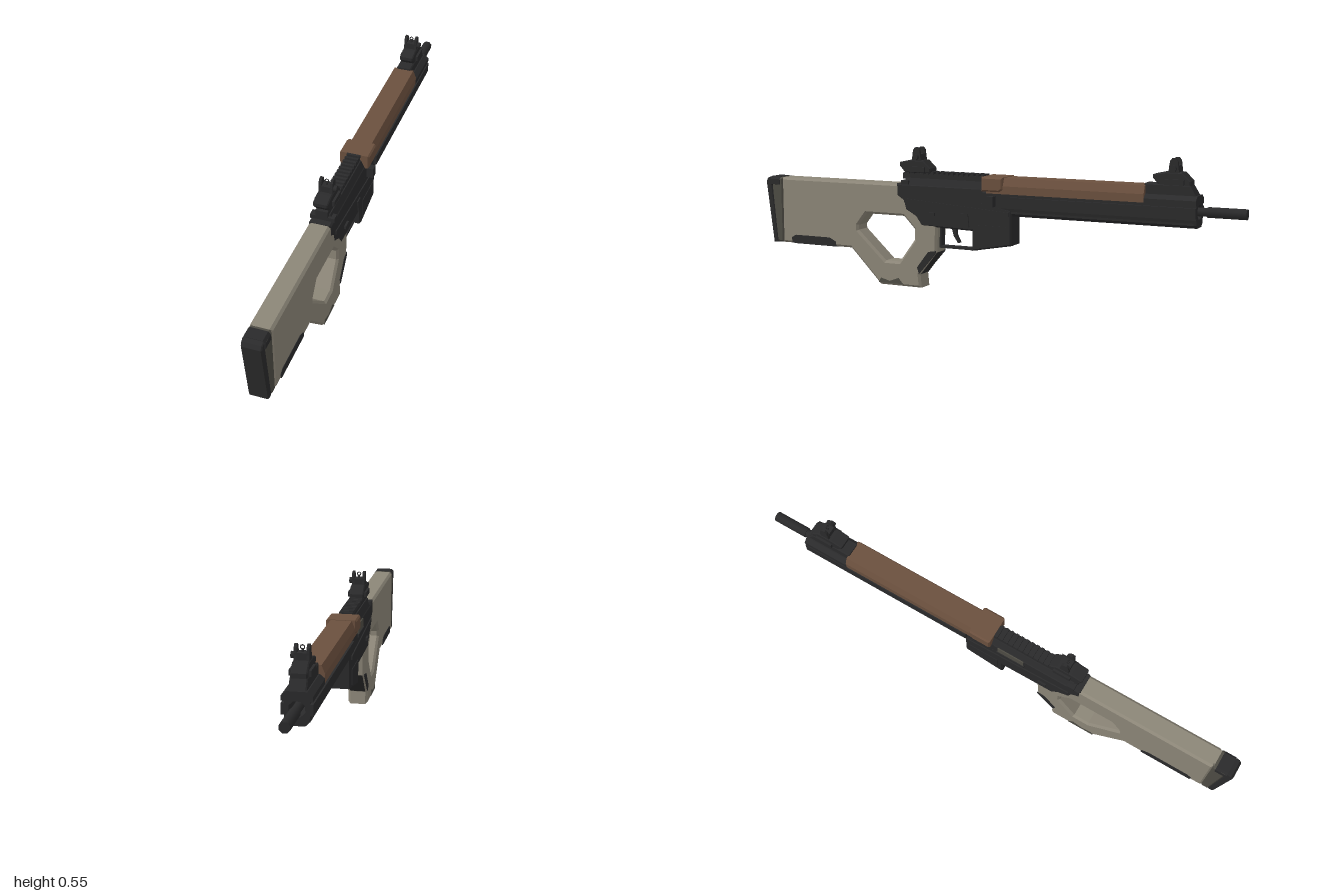
import * as THREE from 'three';

const material = (name, color) => {
  const m = new THREE.MeshStandardMaterial({ color });
  m.name = name;
  return m;
};

export function createModel() {
  const black = material('gunmetal black', 0x2a2a2b);
  const grey = material('warm stone grey', 0x8c8678);
  const worn = material('worn dark olive', 0x4e4c44);
  const brown = material('leather brown', 0x6b503e);

  const model = new THREE.Group();
  model.name = 'carbine';
  const body = new THREE.Group();
  body.name = 'body';
  body.position.x = -0.005;
  model.add(body);

  const add = (name, geometry, mat, parent = body) => {
    const mesh = new THREE.Mesh(geometry, mat);
    mesh.name = name;
    parent.add(mesh);
    return mesh;
  };
  const box = (name, w, h, d, x, y, z, mat = black, parent = body) =>
    add(name, new THREE.BoxGeometry(w, h, d).translate(x, y, z), mat, parent);
  const path = (points, Type = THREE.Shape) => new Type(points.map(([a, b]) => new THREE.Vector2(a, b)));

  // Side outline in (z, y), extruded across x to width w with a chamfer
  const side = (name, points, w, mat = black, { bevel = 0, x = 0, hole, parent } = {}) => {
    const flip = (list) => list.map(([z, y]) => [-z, y]);
    const shape = path(flip(points));
    if (hole) shape.holes.push(path(flip(hole), THREE.Path));
    const geometry = new THREE.ExtrudeGeometry(shape, {
      depth: w - 2 * bevel, bevelEnabled: bevel > 0, bevelSegments: 1,
      bevelSize: bevel, bevelThickness: bevel, bevelOffset: -bevel,
    });
    geometry.translate(0, 0, bevel - w / 2).rotateY(Math.PI / 2).translate(x, 0, 0);
    return add(name, geometry, mat, parent);
  };

  // Symmetric cross-section given by its right half, extruded along z
  const section = (name, half, z0, z1, mat = black, hole) => {
    const mirrored = half.slice().reverse().map(([x, y]) => [-x, y]);
    const shape = path([...half, ...mirrored]);
    if (hole) shape.holes.push(path(hole, THREE.Path));
    const geometry = new THREE.ExtrudeGeometry(shape, { depth: z1 - z0, bevelEnabled: false });
    return add(name, geometry.translate(0, 0, z0), mat);
  };

  // Stock with thumb hole and grip
  side('stock', [
    [0.92, 0.41], [0.92, 0.14], [0.59, 0.14], [0.455, 0.003], [0.27, 0.003],
    [0.275, 0.055], [0.2, 0.15], [0.195, 0.26], [0.3, 0.38], [0.3, 0.41],
  ], 0.08, grey, {
    bevel: 0.009,
    hole: [[0.555, 0.235], [0.517, 0.284], [0.346, 0.284], [0.298, 0.235],
      [0.298, 0.193], [0.367, 0.1], [0.43, 0.1], [0.555, 0.215]],
  });
  side('stockEnd', [[0.975, 0.41], [0.95, 0.14], [0.915, 0.14], [0.915, 0.41]], 0.078, worn, { bevel: 0.008 });
  side('buttPad', [[0.975, 0.411], [0.992, 0.405], [1, 0.39], [0.968, 0.138], [0.945, 0.138]], 0.073, black, { bevel: 0.004 });
  section('buttTopCap', [[0.034, 0.375], [0.04, 0.38], [0.04, 0.401], [0.031, 0.412]], 0.93, 0.976);

  // Thin painted wear patches on both sides of the stock
  const patches = {
    lowerEdgePatch: [[0.87, 0.142], [0.875, 0.163], [0.855, 0.175], [0.69, 0.175], [0.66, 0.16], [0.66, 0.142]],
    gripPatch: [[0.277, 0.06], [0.285, 0.085], [0.235, 0.15], [0.203, 0.155], [0.203, 0.145]],
    footPatch: [[0.46, 0.012], [0.45, 0.03], [0.41, 0.02], [0.37, 0.035], [0.35, 0.012]],
  };
  for (const [name, points] of Object.entries(patches)) {
    for (const s of [-1, 1]) side(name, points, 0.004, name === 'footPatch' ? worn : black, { x: s * 0.04 });
  }
  box('lowerEdgeStrip', 0.062, 0.004, 0.21, 0, 0.14, 0.765);
  const gripStrip = box('gripStrip', 0.062, 0.115, 0.004, 0, 0, 0);
  gripStrip.position.set(0, 0.104, 0.238);
  gripStrip.rotation.x = -0.668;

  // Receiver
  side('lowerReceiver', [
    [0.375, 0.412], [0.375, 0.365], [0.345, 0.345], [0.335, 0.31], [0.29, 0.285], [0.265, 0.25],
    [0.045, 0.245], [0.045, 0.168], [-0.12, 0.198], [-0.12, 0.335], [0, 0.36], [0, 0.412],
  ], 0.084, black, { bevel: 0.006 });
  section('upperReceiver', [[0.041, 0.34], [0.041, 0.405], [0.027, 0.435]], -0.002, 0.34);
  box('topRail', 0.046, 0.024, 0.36, 0, 0.442, 0.175);
  for (let i = 0; i < 16; i++) box('railTooth', 0.052, 0.012, 0.011, 0, 0.456, 0.008 + i * 0.0215);
  box('ejectionPort', 0.006, 0.034, 0.11, -0.042, 0.39, 0.08, worn);
  box('portCover', 0.008, 0.012, 0.12, -0.044, 0.366, 0.08);
  box('chargingHandle', 0.092, 0.016, 0.03, 0, 0.418, 0.335);
  side('boltCatch', [[0.09, 0.31], [0.06, 0.31], [0.055, 0.26], [0.08, 0.26]], 0.008, black, { x: 0.043 });
  for (const s of [-1, 1]) {
    box('selector', 0.012, 0.012, 0.035, s * 0.044, 0.3, 0.22);
    side('receiverRidge', [[0.33, 0.355], [0.33, 0.34], [-0.11, 0.31], [-0.11, 0.325]], 0.006, black, { x: s * 0.043 });
    side('magazineWellPanel', [[0.025, 0.27], [0.025, 0.185], [-0.1, 0.208], [-0.1, 0.27]], 0.005, black, { x: s * 0.042 });
  }
  box('sideKnob', 0.03, 0.04, 0.03, 0.0525, 0.365, -0.04);

  // Trigger and guard
  box('triggerGuardBottom', 0.03, 0.009, 0.16, 0, 0.17, 0.118);
  box('triggerGuardPost', 0.03, 0.085, 0.009, 0, 0.208, 0.194);
  side('trigger', [[0.15, 0.25], [0.13, 0.25], [0.128, 0.22], [0.113, 0.19], [0.122, 0.188], [0.14, 0.215]], 0.014);

  // Handguard with an open front, side rails and brown cover
  const bore = Array.from({ length: 8 }, (_, i) => {
    const a = (i + 0.5) * Math.PI / 4;
    return [0.029 * Math.cos(a), 0.367 + 0.029 * Math.sin(a)];
  });
  section('handguard', [[0.026, 0.31], [0.038, 0.322], [0.042, 0.34], [0.042, 0.395], [0.036, 0.405]], -0.83, 0, black, bore);
  for (const s of [-1, 1]) {
    box('sideRail', 0.016, 0.038, 0.72, s * 0.045, 0.365, -0.47);
    box('lowerRib', 0.012, 0.008, 0.7, s * 0.034, 0.325, -0.47);
  }
  section('handguardCover', [[0.052, 0.395], [0.052, 0.425], [0.04, 0.455]], -0.64, -0.02, brown);
  side('coverRearBlock', [[-0.002, 0.457], [-0.002, 0.402], [-0.075, 0.402], [-0.09, 0.412], [-0.09, 0.457]], 0.116, brown, { bevel: 0.006 });
  section('frontBlock', [[0.052, 0.392], [0.052, 0.41], [0.034, 0.425]], -0.83, -0.64);
  side('frontSightMount', [[-0.635, 0.42], [-0.635, 0.462], [-0.8, 0.462], [-0.826, 0.42]], 0.06, black, { bevel: 0.004 });

  // Barrel
  const barrel = (name, radius, z0, z1) => add(name, new THREE.CylinderGeometry(radius, radius, z1 - z0, 8)
    .rotateY(Math.PI / 8).rotateX(Math.PI / 2).translate(0, 0.367, (z0 + z1) / 2), black);
  barrel('barrel', 0.016, -0.9, -0.3);
  barrel('muzzle', 0.0195, -1, -0.86);

  // Folding sights: base, two ears, ring and cross pin
  for (const [name, z] of [['rearSight', 0.293], ['frontSight', -0.74]]) {
    const sight = new THREE.Group();
    sight.name = name;
    sight.position.z = z;
    body.add(sight);
    side('sightBase', [[0.05, 0.455], [0.075, 0.482], [0.075, 0.495], [0.03, 0.505], [-0.03, 0.505], [-0.062, 0.475], [-0.062, 0.455]],
      0.056, black, { bevel: 0.004, parent: sight });
    box('sightClamp', 0.074, 0.02, 0.07, 0, 0.47, -0.005, black, sight);
    box('sightBlock', 0.05, 0.028, 0.034, 0, 0.515, 0, black, sight);
    for (const s of [-1, 1]) {
      side('sightEar', [[0.02, 0.5], [0.014, 0.545], [0.006, 0.555], [-0.006, 0.555], [-0.014, 0.545], [-0.02, 0.5]],
        0.01, black, { x: s * 0.021, parent: sight });
    }
    box('sightPost', 0.006, 0.02, 0.008, 0, 0.53, 0, black, sight);
    add('sightRing', new THREE.TorusGeometry(0.007, 0.002, 4, 8).translate(0, 0.545, 0), black, sight);
    add('crossPin', new THREE.CylinderGeometry(0.012, 0.012, 0.02, 8).rotateZ(Math.PI / 2).translate(0.028, 0.518, 0), black, sight);
  }
  return model;
}
